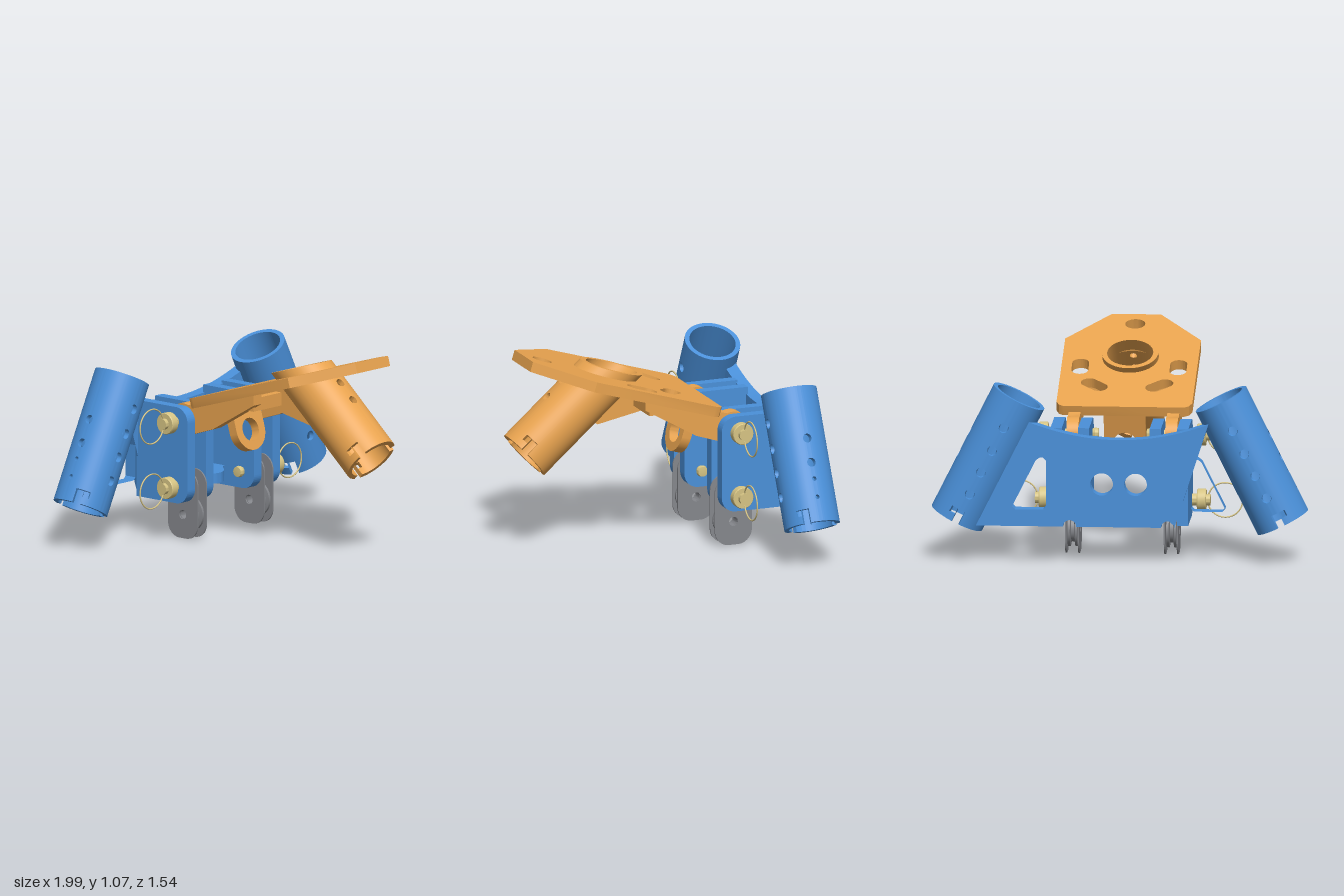
import * as THREE from 'three';
import { toCreasedNormals } from 'three/addons/utils/BufferGeometryUtils.js';

const mat = (color) => new THREE.MeshStandardMaterial({ color, side: THREE.DoubleSide });
const V2 = (a) => a.map(([x, y]) => new THREE.Vector2(x, y));
const TAU = Math.PI * 2;

// Shape from points, with optional elliptical holes [x, y, rx, ry] or ready-made paths
function cut(shape, holes = []) {
  for (const h of holes) {
    if (h instanceof THREE.Path) { shape.holes.push(h); continue; }
    const p = new THREE.Path();
    p.absellipse(h[0], h[1], h[2], h[3] ?? h[2], 0, TAU, false);
    shape.holes.push(p);
  }
  return shape;
}

const extrude = (shape, depth) => toCreasedNormals(
  new THREE.ExtrudeGeometry(shape, { depth, bevelEnabled: false, curveSegments: 20 }), 0.6);
// shape (z, y) swept along x, centred on x
const sideways = (shape, w, x) => extrude(shape, w).rotateY(-Math.PI / 2).translate(x + w / 2, 0, 0);
// shape (x, z) swept downward from y = 0
const flat = (shape, depth) => extrude(shape, depth).rotateX(Math.PI / 2);

// Rectangle with rounded corners; r2 rounds the corners on the low-x side
function roundRect(x0, y0, x1, y1, r, r2 = r) {
  const s = new THREE.Shape();
  const q = Math.PI / 2;
  const corner = (x, y, rad, a) => rad ? s.absarc(x, y, rad, a, a + q, false) : s.lineTo(x, y);
  s.moveTo(x0 + r2, y0);
  corner(x1 - r, y0 + r, r, -q);
  corner(x1 - r, y1 - r, r, 0);
  corner(x0 + r2, y1 - r2, r2, q);
  corner(x0 + r2, y0 + r2, r2, 2 * q);
  return s;
}

// Slot between two points, with round ends
function slot(ax, ay, bx, by, r) {
  const p = new THREE.Path();
  const a = Math.atan2(by - ay, bx - ax);
  p.absarc(bx, by, r, a - Math.PI / 2, a + Math.PI / 2, false);
  p.absarc(ax, ay, r, a + Math.PI / 2, a + Math.PI * 1.5, false);
  p.closePath();
  return p;
}

// Drilled tube standing on y = 0. holes: { u: angle, v: height, w, h: half sizes, rect }
function drilledTube(R, r, top, holes) {
  const wrap = (d) => ((d + 5 * Math.PI) % TAU) - Math.PI;
  const half = (o, u) => {
    const t = Math.abs(wrap(u - o.u)) * R / o.w;
    if (o.rect) return t < 0.999 ? o.h : 0;
    return o.h * Math.sqrt(Math.max(0, 1 - t * t));
  };
  let lines = Array.from({ length: 65 }, (_, i) => i / 64 * TAU);
  for (const o of holes) {
    const ts = o.rect ? [-1, -0.998, 0.998, 1] : Array.from({ length: 11 }, (_, i) => Math.cos(i * Math.PI / 10));
    for (const t of ts) lines.push((o.u + t * o.w / R + 2 * TAU) % TAU);
  }
  lines = lines.sort((a, b) => a - b).filter((u, i, l) => i === 0 || u - l[i - 1] > 1e-6);
  const pos = [];
  const quad = (a, b, c, d) => pos.push(...a, ...b, ...c, ...a, ...c, ...d);
  for (let i = 0; i + 1 < lines.length; i++) {
    const a = lines[i], b = lines[i + 1], m = (a + b) / 2;
    const piece = (lo, hi) => {
      if (hi(m, R) <= lo(m, R)) return;
      const P = (f, u, q) => [q * Math.cos(u), f(u, q), q * Math.sin(u)];
      quad(P(lo, b, R), P(lo, a, R), P(hi, a, R), P(hi, b, R));
      quad(P(lo, a, r), P(lo, b, r), P(hi, b, r), P(hi, a, r));
      quad(P(hi, b, R), P(hi, a, R), P(hi, a, r), P(hi, b, r));
      quad(P(lo, a, R), P(lo, b, R), P(lo, b, r), P(lo, a, r));
    };
    let lo = () => 0;
    const here = holes.filter((o) => Math.abs(wrap(m - o.u)) * R < o.w).sort((p, q) => p.v - q.v);
    for (const o of here) {
      piece(lo, (u) => o.v - half(o, u));
      lo = (u) => o.v + half(o, u);
    }
    piece(lo, (u, q) => top(q * Math.sin(u)));
  }
  const g = new THREE.BufferGeometry();
  g.setAttribute('position', new THREE.Float32BufferAttribute(pos, 3));
  return toCreasedNormals(g, 0.5);
}

// Three hooked notches around the lower rim
const notches = (u0, dir) => [0, 1, 2].flatMap((k) => {
  const u = u0 + k * TAU / 3;
  return [{ u, v: 0, w: 0.022, h: 0.075, rect: true },
    { u: u + dir * 0.27, v: 0.058, w: 0.018, h: 0.017, rect: true }];
});

export function createModel() {
  const root = new THREE.Group();
  const blue = mat(0x4a90d9), orange = mat(0xe8a34f), brass = mat(0xd6c484), grey = mat(0x85878c);
  const add = (name, geo, material, parent = root) => {
    const m = new THREE.Mesh(geo, material);
    m.name = name;
    parent.add(m);
    return m;
  };

  // Rear plate with hollow top edge, windows and notches
  const back = new THREE.Shape();
  back.moveTo(-0.757, 0.2);
  for (const x of [-0.26, 0.26]) back.absarc(x, 0.2, 0.035, Math.PI, 0, true);
  back.lineTo(0.757, 0.2);
  back.lineTo(0.476, 0.76);
  back.quadraticCurveTo(0, 0.58, -0.476, 0.76);
  back.closePath();
  const windows = [-1, 1].map((s) => new THREE.Path(
    V2([[0.4, 0.29], [0.55, 0.29], [0.565, 0.305], [0.44, 0.555], [0.42, 0.57], [0.4, 0.57], [0.385, 0.555], [0.385, 0.305]]
      .map(([x, y]) => [s * x, y]))));
  add('rearPlate', extrude(cut(back, [[-0.09, 0.43, 0.06], [0.09, 0.43, 0.06], ...windows]), 0.07).translate(0, 0, -0.73), blue);

  // Shelf with rounded tongue
  const shelf = new THREE.Shape();
  shelf.moveTo(-0.165, -0.67);
  shelf.lineTo(0.165, -0.67);
  shelf.lineTo(0.165, -0.52);
  shelf.quadraticCurveTo(0.13, -0.51, 0.1, -0.47);
  shelf.quadraticCurveTo(0, -0.35, -0.1, -0.47);
  shelf.quadraticCurveTo(-0.13, -0.51, -0.165, -0.52);
  add('shelf', flat(cut(shelf, [[0, -0.53, 0.053]]), 0.055).translate(0, 0.305, 0), blue);

  for (const s of [-1, 1]) {
    // Splayed side tubes
    const at = (a) => (s > 0 ? a : Math.PI - a);
    const holes = notches(at(Math.PI / 6), s);
    for (const v of [0.172, 0.305, 0.436, 0.574])
      for (const u of [Math.PI / 2, Math.PI * 1.5]) holes.push({ u, v, w: 0.026, h: 0.026 });
    for (const [v, w] of [[0.45, 0.024], [0.318, 0.024], [0.229, 0.012], [0.13, 0.012]])
      for (const u of [0, Math.PI]) holes.push({ u, v, w, h: w });
    const tube = add('sideTube', drilledTube(0.149, 0.124, () => 0.735, holes), blue);
    tube.position.set(s * 0.864, 0.22, -0.62);
    tube.rotation.z = s * 0.464;

    // Clevis lugs
    for (const x of [0.19, 0.335])
      add('lug', sideways(cut(roundRect(-0.67, 0.2, -0.307, 0.72, 0.08, 0),
        [[-0.4, 0.64, 0.025], [-0.4, 0.29, 0.025]]), 0.06, s * x), blue);

    // Quick-release pins with pull rings
    const pin = V2([[0, 0.125], [0.027, 0.128], [0.031, 0.145], [0.024, 0.165], [0.024, 0.36], [0.032, 0.36], [0.032, 0.395],
      [0.055, 0.395], [0.058, 0.4], [0.058, 0.438], [0.055, 0.443], [0.03, 0.443], [0.03, 0.465], [0, 0.465]]);
    for (const y of [0.64, 0.29]) {
      add('pin', toCreasedNormals(new THREE.LatheGeometry(pin, 28), 0.5).rotateZ(-s * Math.PI / 2).translate(0, y, -0.4), brass);
      add('pullRing', new THREE.TorusGeometry(0.093, 0.004, 8, 48).translate(s * 0.543, y, -0.4), brass);
    }

    // Hanging pulley: two cheeks and a grooved wheel
    for (const d of [-0.034, 0.034])
      add('pulleyCheek', sideways(cut(roundRect(-0.505, 0, -0.295, 0.37, 0.08),
        [[-0.4, 0.127, 0.025]]), 0.008, s * 0.262 + d), grey);
    const wheel = V2([[0.025, -0.026], [0.095, -0.026], [0.095, -0.013], [0.07, -0.008], [0.07, 0.008],
      [0.095, 0.013], [0.095, 0.026], [0.025, 0.026], [0.025, -0.026]]);
    add('pulleyWheel', toCreasedNormals(new THREE.LatheGeometry(wheel, 36), 0.5).rotateZ(Math.PI / 2)
      .translate(s * 0.262, 0.127, -0.4), grey);

    // Hinge arm from the deck to the upper pin
    const arm = new THREE.Shape();
    arm.moveTo(0.1, 0.85);
    arm.lineTo(-0.32, 0.735);
    arm.absarc(-0.4, 0.64, 0.088, 1.2, Math.PI * 1.6, false);
    arm.lineTo(-0.19, 0.617);
    arm.lineTo(0.1, 0.785);
    add('hingeArm', sideways(cut(arm, [[-0.4, 0.64, 0.025]]), 0.064, s * 0.262), orange);
  }

  // Tilted deck
  const deckGroup = new THREE.Group();
  deckGroup.name = 'deck';
  deckGroup.position.y = 0.8675;
  deckGroup.rotation.x = -0.292;
  root.add(deckGroup);
  const deck = new THREE.Shape(V2([[-0.32, -0.34], [0.32, -0.34], [0.345, -0.325], [0.36, -0.29], [0.36, 0.42],
    [0.13, 0.705], [-0.13, 0.705], [-0.36, 0.42], [-0.36, -0.29], [-0.345, -0.325]]));
  const deckHoles = [[0, 0.236, 0.136, 0.158], [0, 0.595, 0.053]];
  for (const s of [-1, 1])
    deckHoles.push(slot(s * 0.26, 0.07, s * 0.26, 0.148, 0.045), slot(s * 0.2, -0.07, s * 0.145, -0.12, 0.045));
  add('deckPlate', flat(cut(deck, deckHoles), 0.055), orange, deckGroup);

  // Eye tab under the deck
  const tab = new THREE.Shape();
  tab.moveTo(-0.11, -0.04);
  tab.lineTo(-0.11, -0.23);
  tab.absarc(0, -0.23, 0.11, Math.PI, TAU, false);
  tab.lineTo(0.11, -0.04);
  add('eyeTab', extrude(cut(tab, [[0, -0.23, 0.062]]), 0.052).translate(0, 0, -0.316), orange, deckGroup);

  // Socket tube through the deck, top trimmed parallel to it
  const socketHoles = [...notches(Math.PI / 6, 1)];
  for (const v of [0.3, 0.42])
    for (const u of [Math.PI / 2, Math.PI * 1.5]) socketHoles.push({ u, v, w: 0.024, h: 0.024 });
  const socket = add('socketTube', drilledTube(0.149, 0.122, (z) => 0.6617 - 0.6267 * z, socketHoles), orange);
  socket.position.set(0, 0.526, 0.6725);
  socket.rotation.x = -0.851;

  // Gusset and cross web behind the socket
  add('gusset', sideways(new THREE.Shape(V2([[0.285, 0.672], [0.08, 0.85], [0.02, 0.83], [-0.015, 0.716], [0.265, 0.66]])), 0.06, 0), orange);
  add('crossWeb', new THREE.BoxGeometry(0.5, 0.07, 0.04).translate(0, 0.775, 0.04), orange);
  return root;
}
